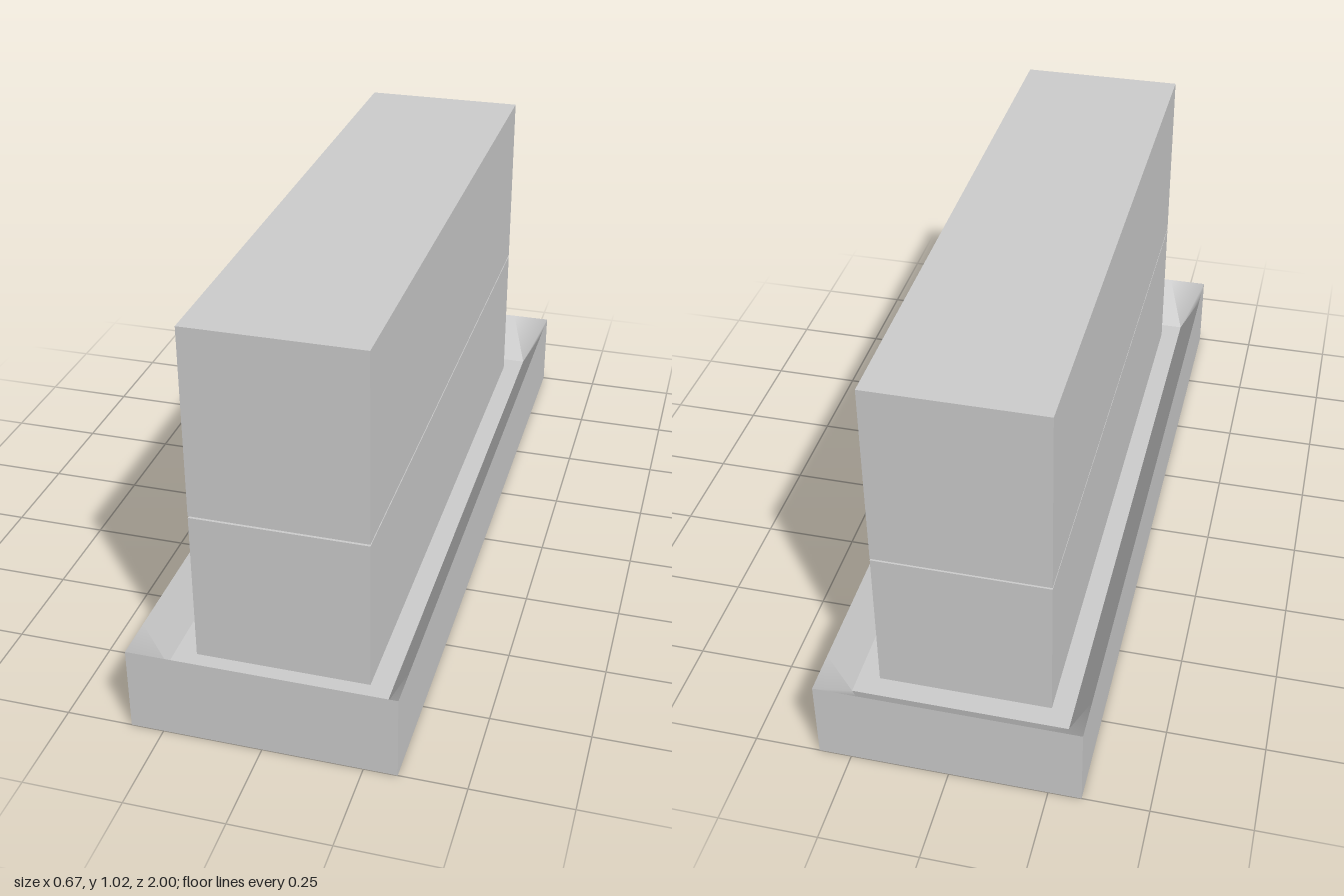
import * as THREE from 'three';

// Tray: half width and length, rim height, floor height, floor half sizes
const X = 0.333, Z = 1, RIM = 0.222, FLOOR = 0.111, FX = 0.277, FZ = 0.89;
const CORNER_X = 0.222; // where the end slope meets the corner facet at the rim

// Collects four-cornered faces; each keeps its own vertices so edges stay sharp
function quadGeometry(quads) {
  const pos = [], index = [];
  quads.forEach((q, i) => {
    q.forEach(p => pos.push(...p));
    index.push(...[0, 1, 2, 0, 2, 3].map(k => k + i * 4));
  });
  const g = new THREE.BufferGeometry();
  g.setAttribute('position', new THREE.Float32BufferAttribute(pos, 3));
  g.setIndex(index);
  g.computeVertexNormals();
  return g;
}

function trayGeometry() {
  const quads = [
    // underside and inner floor
    [[-X, 0, -Z], [X, 0, -Z], [X, 0, Z], [-X, 0, Z]],
    [[-FX, FLOOR, FZ], [FX, FLOOR, FZ], [FX, FLOOR, -FZ], [-FX, FLOOR, -FZ]],
  ];
  const half = [
    // outer side and end
    [[X, 0, Z], [X, 0, -Z], [X, RIM, -Z], [X, RIM, Z]],
    [[-X, 0, Z], [X, 0, Z], [X, RIM, Z], [-X, RIM, Z]],
    // sloped inner side and end
    [[FX, FLOOR, -FZ], [FX, FLOOR, FZ], [X, RIM, FZ], [X, RIM, -FZ]],
    [[FX, FLOOR, FZ], [-FX, FLOOR, FZ], [-CORNER_X, RIM, Z], [CORNER_X, RIM, Z]],
    // inner corners
    [[X, RIM, Z], [X, RIM, FZ], [FX, FLOOR, FZ], [CORNER_X, RIM, Z]],
    [[-X, RIM, Z], [-CORNER_X, RIM, Z], [-FX, FLOOR, FZ], [-X, RIM, FZ]],
  ];
  // the other half is the same, turned half a circle about y
  for (const s of [1, -1])
    for (const q of half) quads.push(q.map(([x, y, z]) => [s * x, y, s * z]));
  return quadGeometry(quads);
}

export function createModel() {
  const model = new THREE.Group();
  model.name = 'blockInTray';
  const material = new THREE.MeshStandardMaterial({ color: 0xcccccc });
  const thin = new THREE.MeshStandardMaterial({ color: 0xcccccc, side: THREE.DoubleSide });

  const tray = new THREE.Mesh(trayGeometry(), thin);
  tray.name = 'tray';
  model.add(tray);

  // Two stacked blocks with a narrow gap between them
  for (const [name, y0, y1] of [['lowerBlock', FLOOR, 0.513], ['upperBlock', 0.518, 1.016]]) {
    const block = new THREE.Mesh(new THREE.BoxGeometry(0.444, y1 - y0, 1.668), material);
    block.name = name;
    block.position.y = (y0 + y1) / 2;
    model.add(block);
  }
  return model;
}
